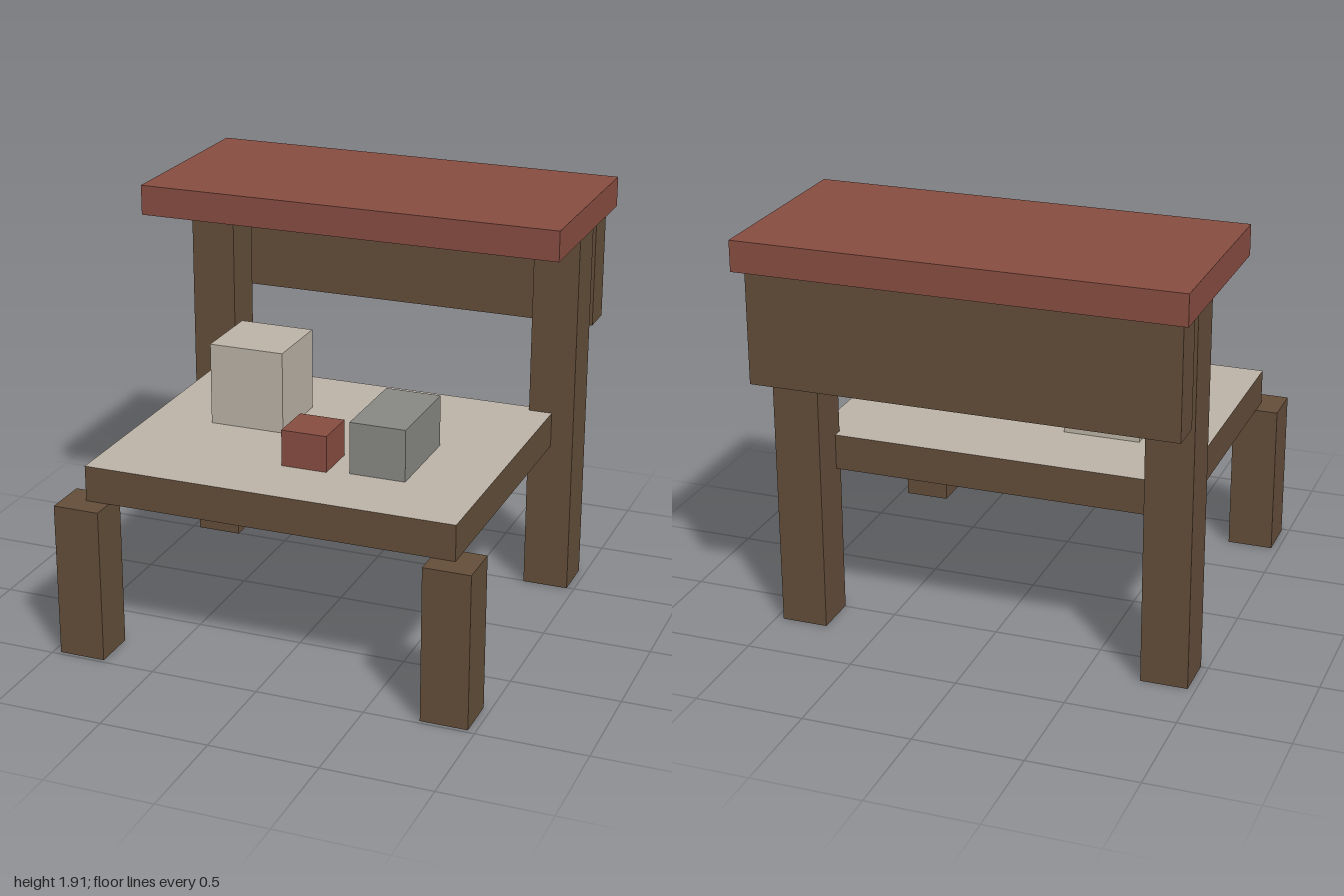
import * as THREE from 'three';

const material = (name, color) => {
  const m = new THREE.MeshStandardMaterial({ color });
  m.name = name;
  return m;
};

export function createModel() {
  const model = new THREE.Group();
  model.name = 'marketStall';

  const wood = material('brown wood', 0x634e3a);
  const red = material('brick red', 0x874d41);
  const beige = material('pale beige', 0xbcb3a6);
  const grey = material('stone grey', 0x888983);

  // Box given by its extents along each axis
  const box = (name, [x0, x1], [y0, y1], [z0, z1], mat) => {
    const mesh = new THREE.Mesh(new THREE.BoxGeometry(x1 - x0, y1 - y0, z1 - z0), mat);
    mesh.position.set((x0 + x1) / 2, (y0 + y1) / 2, (z0 + z1) / 2);
    mesh.name = name;
    model.add(mesh);
  };

  // Short front legs and tall back posts, mirrored left and right
  for (const [side, x] of [['left', [0.75, 0.965]], ['right', [-0.965, -0.75]]]) {
    box(side + 'FrontLeg', x, [0, 0.717], [0.77, 0.982], wood);
    box(side + 'BackPost', x, [0, 1.767], [-0.708, -0.494], wood);
  }

  // Counter: wooden slab with a pale top face
  box('counter', [-0.86, 0.86], [0.717, 0.882], [-0.54, 0.877], [wood, wood, beige, wood, wood, wood]);

  // Hanging back panel and roof slab
  box('backPanel', [-0.965, 0.965], [1.242, 1.767], [-0.922, -0.76], wood);
  box('roof', [-1, 1], [1.767, 1.907], [-0.982, -0.03], red);

  // Goods on the counter
  box('largeCrate', [-0.56, -0.205], [0.882, 1.265], [-0.16, 0.197], beige);
  box('smallCrate', [-0.06, 0.152], [0.882, 1.05], [0.337, 0.553], red);
  box('longCrate', [0.25, 0.508], [0.882, 1.122], [0.075, 0.528], grey);

  return model;
}
